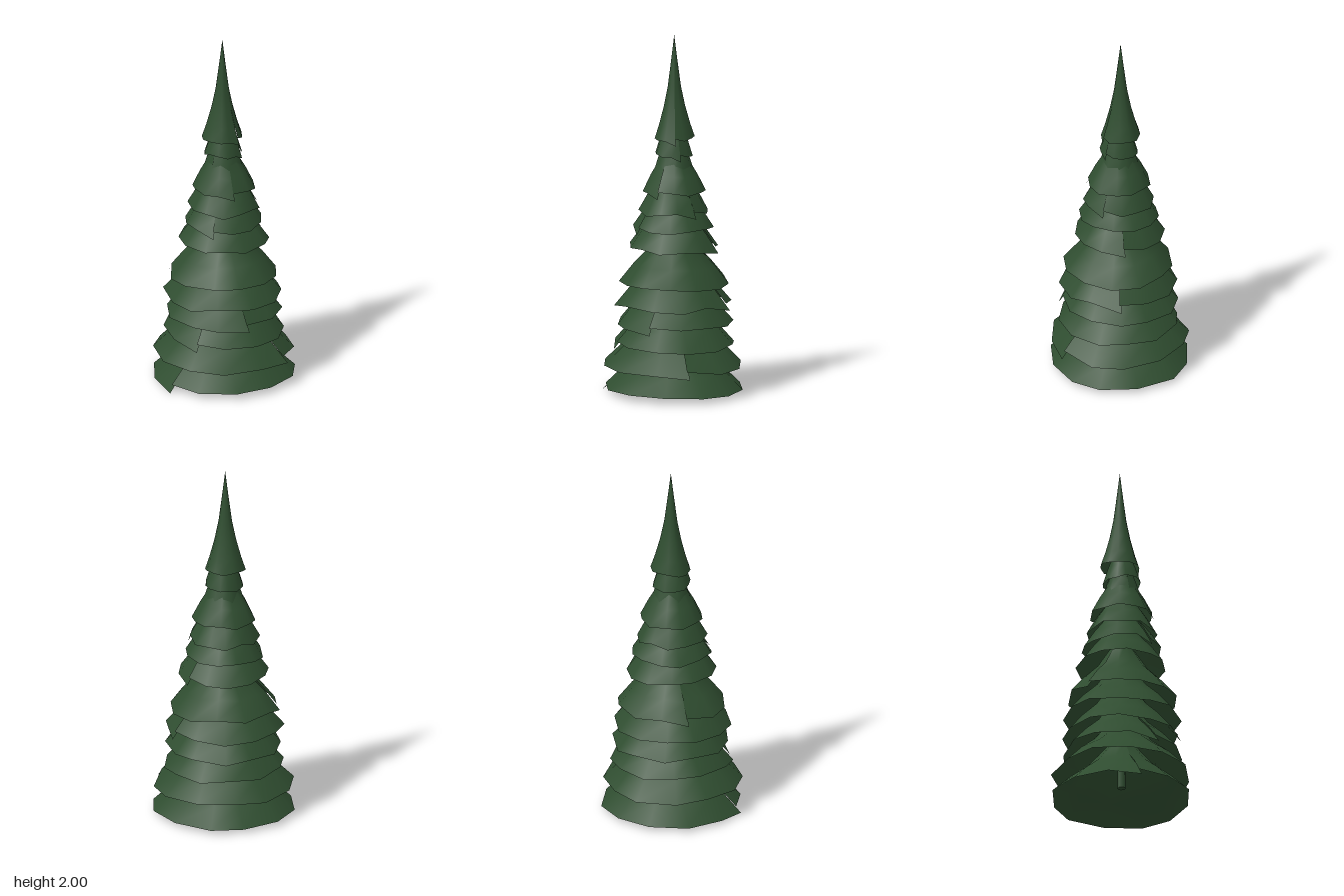
import * as THREE from 'three';

// rim height, rim radius, seam angle, height of the skirt
const TIERS = [
  [0.025, 0.39, 1.47, 0.45], [0.165, 0.385, -0.45, 0.45], [0.28, 0.33, 1.1, 0.45],
  [0.395, 0.32, 0.2, 0.45], [0.505, 0.325, -1.4, 0.45], [0.62, 0.3, 2.4, 0.45],
  [0.815, 0.248, -1.5, 0.42], [0.92, 0.22, 0.9, 0.42], [1.02, 0.193, -0.9, 0.42],
  [1.13, 0.175, 0.3, 0.42], [1.25, 0.105, 1.3, 0.4], [1.33, 0.105, -0.6, 0.4],
];
// share of rim radius, share of skirt height
const SKIRT = [[1, 0], [0.74, 0.22], [0.48, 0.4], [0.2, 0.7], [0.05, 1]];
const CROWN = [[1, 0], [0.78, 0.13], [0.53, 0.31], [0.33, 0.5], [0.14, 0.78], [0, 1]];
const SIDES = 12;

function makeRandom(seed) {
  return () => {
    seed = (seed * 16807) % 2147483647;
    return seed / 2147483647 - 0.5;
  };
}

// Hollow flared skirt, wrapped round the trunk with an open overlapping seam
function skirtGeometry([y, radius, seam, height], profile, random) {
  const positions = [], index = [];
  const n = SIDES + 1;
  const wobble = Array.from({ length: n }, (_, j) => {
    const end = j === 0 ? 1 : j === SIDES ? -1 : 0;
    return {
      angle: seam + (j / SIDES) * (Math.PI * 2 + 0.03) + (end ? 0 : random() * 0.12),
      r: 1 + (end ? end * 0.03 : random() * 0.06),
      y: end ? -0.005 - end * 0.02 : random() * 0.03,
    };
  });
  profile.forEach(([pr, ph]) => {
    const fade = 1 - ph;
    wobble.forEach((w) => {
      const r = radius * pr * (1 + (w.r - 1) * fade);
      positions.push(Math.cos(w.angle) * r, y + ph * height + w.y * fade * fade, Math.sin(w.angle) * r);
    });
  });
  for (let i = 0; i < profile.length - 1; i++) {
    for (let j = 0; j < SIDES; j++) {
      const a = i * n + j, b = a + 1, c = a + n, d = c + 1;
      index.push(a, c, b, b, c, d);
    }
  }
  const g = new THREE.BufferGeometry();
  g.setAttribute('position', new THREE.Float32BufferAttribute(positions, 3));
  g.setIndex(index);
  g.computeVertexNormals();
  return g;
}

export function createModel() {
  const tree = new THREE.Group();
  tree.name = 'firTree';
  const green = new THREE.MeshStandardMaterial({ color: 0x2f4d30, side: THREE.DoubleSide });
  green.name = 'firGreen';
  const random = makeRandom(4217);

  // Branch skirts, bottom to top
  TIERS.forEach((tier, i) => {
    const mesh = new THREE.Mesh(skirtGeometry(tier, SKIRT, random), green);
    mesh.name = `branchSkirt${i + 1}`;
    tree.add(mesh);
  });

  // Tall pointed crown
  const crown = new THREE.Mesh(skirtGeometry([1.42, 0.11, -0.3, 0.58], CROWN, random), green);
  crown.name = 'crown';
  crown.position.x = -0.01;
  tree.add(crown);

  // Thin trunk
  const trunk = new THREE.Mesh(new THREE.CylinderGeometry(0.005, 0.023, 1.7, 8), green);
  trunk.name = 'trunk';
  trunk.position.y = 0.94;
  tree.add(trunk);
  return tree;
}
